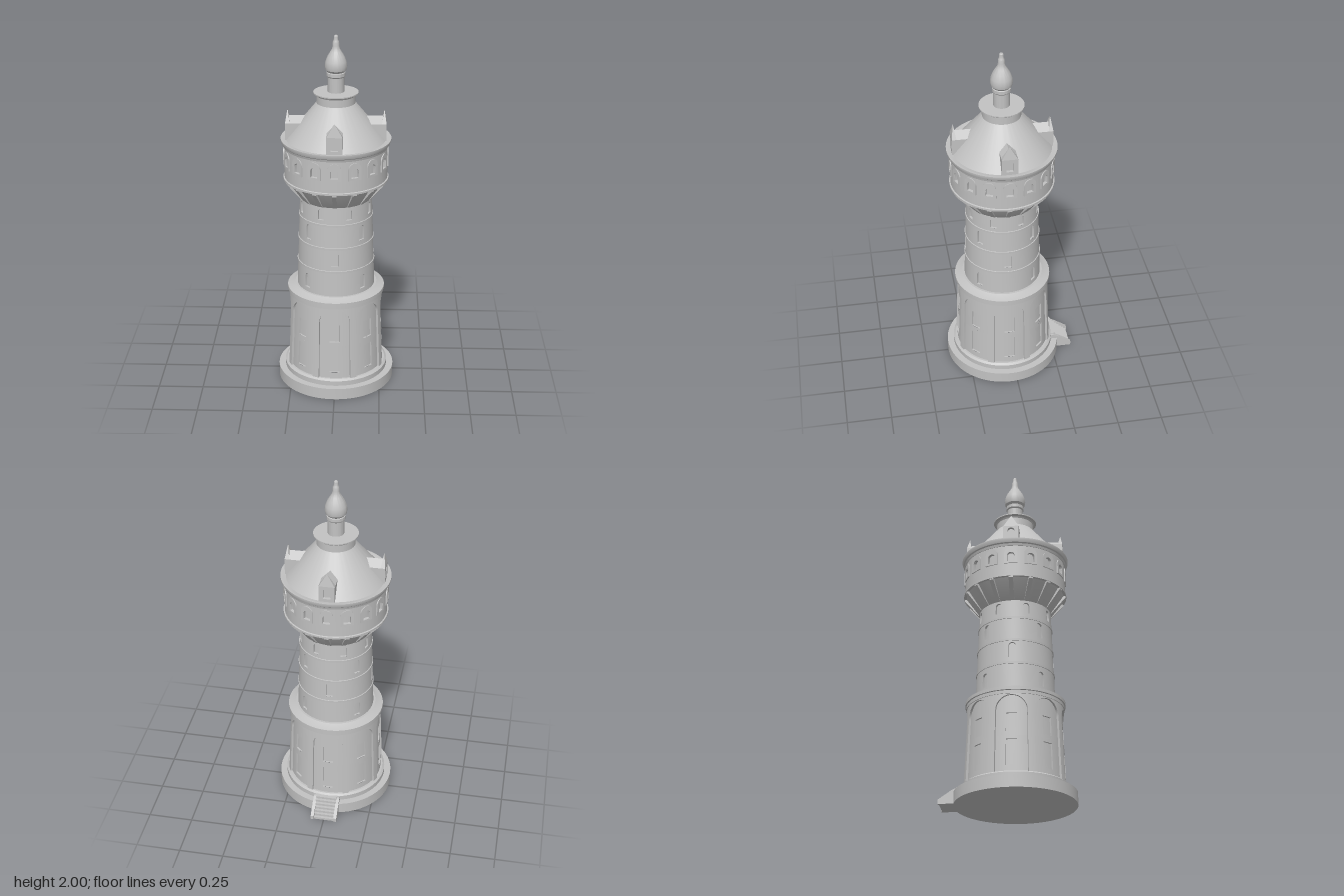
import * as THREE from 'three';
import { mergeGeometries, toCreasedNormals } from 'three/addons/utils/BufferGeometryUtils.js';
import { ParametricGeometry } from 'three/addons/geometries/ParametricGeometry.js';

const stone = new THREE.MeshStandardMaterial({ color: 0xc2c2c2 });
stone.name = 'paleStone';

function add(parent, name, geometry) {
  const mesh = new THREE.Mesh(geometry, stone);
  mesh.name = name;
  parent.add(mesh);
  return mesh;
}

// Round part from a [radius, height] profile
const lathe = (profile, segments = 96) => toCreasedNormals(
  new THREE.LatheGeometry(profile.map(([r, y]) => new THREE.Vector2(r, y)), segments), 0.45);

// Surface patch given in angle, height, radius around the tower axis
function patch(slices, stacks, f) {
  return new ParametricGeometry((u, v, target) => {
    const [a, y, r] = f(u, v);
    target.set(r * Math.sin(a), y, r * Math.cos(a));
  }, slices, stacks);
}

const mix = THREE.MathUtils.lerp;
const taper = (y0, r0, y1, r1) => y => mix(r0, r1, (y - y0) / (y1 - y0));

// Ring of wall with count recessed openings, each with straight sides up to spring and an arch of given rise
function wallRing({ lo, hi, count, offset = 0, radius, half, sill, spring, rise, depth, pane = true }) {
  const parts = [], step = Math.PI * 2 / count, n = 14;
  for (let i = 0; i < count; i++) {
    const c = offset + i * step;
    const arch = t => [c + half * Math.cos(t), spring + rise * Math.sin(t)];
    const flat = (a0, a1, y0, y1) => {
      const slices = Math.max(2, Math.ceil(Math.abs(a1 - a0) / 0.065));
      parts.push(patch(slices, 1, (u, v) => {
        const y = mix(y0, y1, v);
        return [mix(a0, a1, u), y, radius(y)];
      }));
    };
    flat(c - step / 2, c - half, lo, hi);
    flat(c + half, c + step / 2, lo, hi);
    if (sill > lo) flat(c - half, c + half, lo, sill);
    parts.push(patch(n, 1, (u, v) => {
      const [a, y0] = arch(Math.PI * (1 - u)), y = mix(y0, hi, v);
      return [a, y, radius(y)];
    }));
    // Reveal running round the opening
    const path = [[c - half, sill], [c + half, sill]];
    for (let k = 0; k <= n; k++) path.push(arch(Math.PI * k / n));
    path.push(path[0]);
    parts.push(patch(path.length - 1, 1, (u, v) => {
      const [a, y] = path[Math.round(u * (path.length - 1))];
      return [a, y, radius(y) - depth * v];
    }));
    if (pane) parts.push(patch(n, 1, (u, v) => {
      const [a, top] = arch(Math.PI * (1 - u)), y = mix(sill, top, v);
      return [a, y, radius(y) - depth];
    }));
  }
  return toCreasedNormals(mergeGeometries(parts), 0.45);
}

// Round-headed outline, used as a shape or a hole
function archPath(Type, half, bottom, spring) {
  const p = new Type();
  p.moveTo(-half, bottom);
  p.lineTo(half, bottom);
  p.lineTo(half, spring);
  p.absarc(0, spring, half, 0, Math.PI, false);
  p.closePath();
  return p;
}

const extrude = (shape, depth) =>
  new THREE.ExtrudeGeometry(shape, { depth, bevelEnabled: false, curveSegments: 10 });
const polygon = points => new THREE.Shape(points.map(p => new THREE.Vector2(...p)));

function makeDormer() {
  const dormer = new THREE.Group();
  dormer.name = 'dormer';
  const w = 0.043;
  const body = polygon([[-w, 1.43], [w, 1.43], [w, 1.525], [0, 1.56], [-w, 1.525]]);
  add(dormer, 'dormerBody', extrude(body, 0.115)).position.z = 0.14;
  const face = polygon([[-w, 1.43], [w, 1.43], [w, 1.525], [-w, 1.525]]);
  face.holes.push(archPath(THREE.Path, 0.02, 1.45, 1.495));
  add(dormer, 'dormerGable', extrude(face, 0.025)).position.z = 0.247;
  // Four-sided pointed cap over the gable
  const cap = new THREE.ConeGeometry(Math.SQRT1_2, 1, 4, 1).toNonIndexed();
  cap.rotateY(Math.PI / 4);
  cap.scale(w * 2, 0.072, 0.025);
  cap.computeVertexNormals();
  add(dormer, 'dormerCap', cap).position.set(0, 1.561, 0.2595);
  return dormer;
}

function makeStairs() {
  const stairs = new THREE.Group();
  stairs.name = 'entranceStairs';
  for (let i = 0; i < 7; i++) {
    const h = 0.0135 * (i + 1), z0 = -0.396 + 0.0145 * i, z1 = -0.28;
    add(stairs, 'step', new THREE.BoxGeometry(0.12, h, z1 - z0)).position.set(0, h / 2, (z0 + z1) / 2);
  }
  const cheek = polygon([[0.28, 0], [0.401, 0], [0.401, 0.024], [0.33, 0.073], [0.298, 0.09], [0.28, 0.09]]);
  for (const x of [-0.075, 0.057]) {
    const geometry = extrude(cheek, 0.018);
    geometry.rotateY(Math.PI / 2);
    add(stairs, 'stairCheek', geometry).position.x = x;
  }
  return stairs;
}

export function createModel() {
  const model = new THREE.Group();
  model.name = 'waterTower';
  const tower = new THREE.Group();
  tower.name = 'tower';
  tower.position.z = 0.036;
  model.add(tower);

  // Plinth
  add(tower, 'plinth', lathe([[0, 0], [0.327, 0], [0.327, 0.065], [0.29, 0.065],
    [0.29, 0.093], [0.278, 0.102], [0.24, 0.102]]));

  // Lower storey: blind arcade in front of two rows of windows
  const inner = taper(0.1, 0.267, 0.54, 0.25), outer = taper(0.1, 0.279, 0.54, 0.261);
  add(tower, 'arcade', wallRing({ lo: 0.1, hi: 0.54, count: 8, radius: outer, half: 0.325,
    sill: 0.1, spring: 0.445, rise: 0.08, depth: 0.013, pane: false }));
  add(tower, 'lowerWindowWall', wallRing({ lo: 0.1, hi: 0.3, count: 8, radius: inner, half: 0.11,
    sill: 0.137, spring: 0.28, rise: 0, depth: 0.009 }));
  add(tower, 'upperWindowWall', wallRing({ lo: 0.3, hi: 0.54, count: 8, radius: inner, half: 0.113,
    sill: 0.322, spring: 0.425, rise: 0, depth: 0.009 }));
  add(tower, 'lowerCornice', lathe([[0.24, 0.53], [0.265, 0.53], [0.265, 0.548], [0.271, 0.55],
    [0.271, 0.568], [0.25, 0.574], [0.228, 0.585], [0.2, 0.585]]));

  // Shaft: four window rows split by string courses
  const shaft = taper(0.58, 0.216, 1.1, 0.198);
  const rows = [
    [0.58, 0.73, 4, Math.PI / 4, 0.61, 0.675, 0.09],
    [0.73, 0.865, 4, 0, 0.76, 0.83, 0.092],
    [0.865, 1, 4, Math.PI / 4, 0.897, 0.965, 0.094],
    [1, 1.11, 8, Math.PI / 8, 1.028, 1.072, 0.085],
  ];
  rows.forEach(([lo, hi, count, offset, sill, spring, half], i) => {
    add(tower, 'shaftWall', wallRing({ lo, hi, count, offset, radius: shaft, half, sill, spring,
      rise: 0.018, depth: 0.011 }));
    if (i === 0) return;
    const r = shaft(lo);
    add(tower, 'stringCourse', lathe([[r - 0.01, lo - 0.008], [r + 0.004, lo - 0.008],
      [r + 0.004, lo + 0.004], [r - 0.01, lo + 0.008]]));
  });

  // Flaring corbel with radial ribs
  add(tower, 'corbel', lathe([[0.19, 1.098], [0.2, 1.104], [0.272, 1.208], [0.287, 1.208],
    [0.287, 1.218], [0.27, 1.224]]));
  for (let i = 0; i < 16; i++) {
    const rib = extrude(polygon([[0.185, 1.104], [0.203, 1.104], [0.284, 1.2], [0.284, 1.21], [0.25, 1.21]]), 0.024);
    rib.translate(0, 0, -0.012);
    add(tower, 'corbelRib', rib).rotation.y = i * Math.PI / 8;
  }

  // Drum with sixteen framed arched windows
  add(tower, 'drumWall', wallRing({ lo: 1.215, hi: 1.41, count: 16, radius: () => 0.28, half: 0.071,
    sill: 1.3, spring: 1.335, rise: 0.02, depth: 0.012 }));
  const frame = archPath(THREE.Shape, 0.036, 1.288, 1.348);
  frame.holes.push(archPath(THREE.Path, 0.02, 1.3, 1.335));
  const frameGeometry = extrude(frame, 0.008);
  frameGeometry.translate(0, 0, 0.2765);
  for (let i = 0; i < 16; i++) add(tower, 'drumWindowFrame', frameGeometry).rotation.y = i * Math.PI / 8;
  add(tower, 'drumCornice', lathe([[0.27, 1.395], [0.283, 1.395], [0.287, 1.408], [0.293, 1.413],
    [0.299, 1.428], [0.299, 1.437], [0.287, 1.437], [0.271, 1.432], [0.25, 1.432]]));

  // Conical roof, neck and cap
  add(tower, 'roof', lathe([[0.271, 1.43], [0.108, 1.63], [0.103, 1.635]]));
  add(tower, 'roofNeck', lathe([[0.104, 1.62], [0.104, 1.675], [0.109, 1.683], [0.121, 1.688],
    [0.121, 1.694], [0, 1.694]]));
  for (let i = 0; i < 4; i++) {
    const dormer = makeDormer();
    dormer.rotation.y = i * Math.PI / 2;
    tower.add(dormer);
  }

  // Finial
  add(tower, 'finial', lathe([[0.044, 1.69], [0.044, 1.775], [0.05, 1.782], [0.05, 1.8], [0.046, 1.803],
    [0.056, 1.815], [0.06, 1.835], [0.056, 1.86], [0.045, 1.888], [0.03, 1.913], [0.021, 1.928],
    [0.018, 1.945], [0.017, 1.965], [0.012, 1.975], [0.011, 1.995], [0.008, 2], [0, 2]], 48));

  tower.add(makeStairs());
  return model;
}
